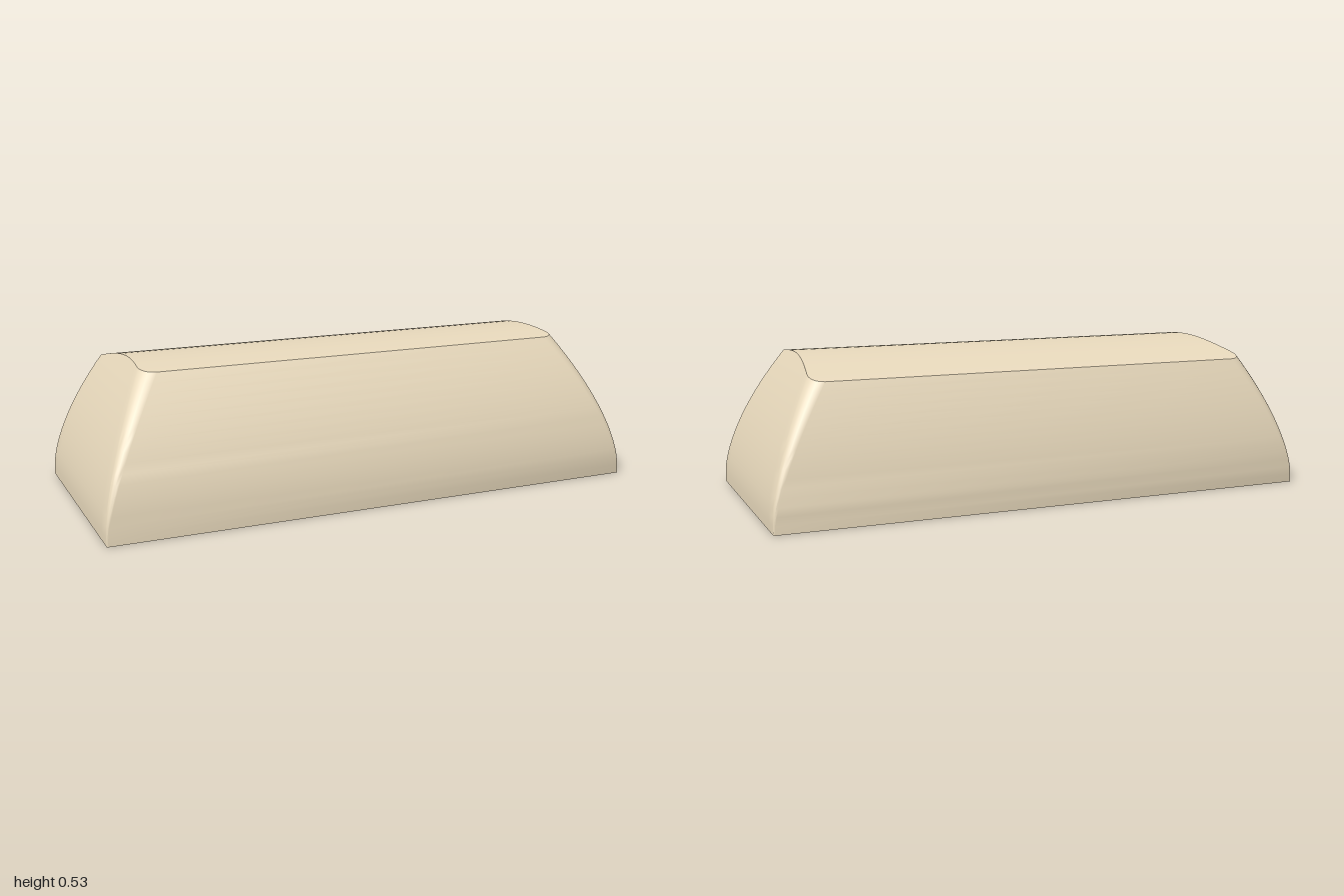
import * as THREE from 'three';
import { toCreasedNormals } from 'three/addons/utils/BufferGeometryUtils.js';

const LEVELS = 16, ARC = 6, SIDE = 14, WALL = 0.08;

// Outer profile: the walls rise straight for a short lip, then curve inwards
const curve = (y, top, p) => Math.pow(Math.max(0, y - 0.04) / (top - 0.04), p);
const endX = y => 1 - 0.19 * curve(y, 0.53, 1.55);
const frontZ = y => 0.435 - 0.195 * curve(y, 0.52, 1.8);
const backZ = y => -0.435 + 0.115 * curve(y, 0.47, 1.7);
const topY = z => 0.535 - 0.46 * (z - 0.05) ** 2;

// Half outline on the +x side, back to front: v runs along the end, (dx, dz) round the corners
const outline = [];
for (let i = 0; i <= ARC; i++) {
  const a = (i / ARC - 1) * Math.PI / 2;
  outline.push({ v: 0, dx: Math.cos(a), dz: Math.sin(a) });
}
for (let i = 1; i < SIDE; i++) outline.push({ v: i / SIDE, dx: 1, dz: 0 });
for (let i = 0; i <= ARC; i++) {
  const a = (i / ARC) * Math.PI / 2;
  outline.push({ v: 1, dx: Math.cos(a), dz: Math.sin(a) });
}

// Half ring at relative height t, moved inwards by inset
function halfRing(t, inset) {
  const radius = k => (inset ? 0.004 : 0.005 + 0.05 * k);
  const place = (zb, zf, r, p) => THREE.MathUtils.lerp(zb + inset + r, zf - inset - r, p.v) + r * p.dz;
  return outline.map(p => {
    const y = t * (topY(place(-0.32, 0.24, radius(1), p)) - inset);
    const r = radius(t);
    return [endX(y) - inset - r + r * p.dx, y, place(backZ(y), frontZ(y), r, p)];
  });
}
const mirror = half => half.map(([x, y, z]) => [-x, y, z]);
const fullRing = (t, inset) => {
  const half = halfRing(t, inset);
  return [...half, ...mirror(half).reverse()];
};

// Surface between consecutive rows of points
function skin(rows, closed, flip) {
  const n = rows[0].length, index = [];
  for (let j = 0; j < rows.length - 1; j++) {
    for (let i = 0; i < (closed ? n : n - 1); i++) {
      const k = (i + 1) % n;
      const a = j * n + i, b = j * n + k, c = a + n, d = b + n;
      index.push(...(flip ? [a, b, c, b, d, c] : [a, c, b, b, c, d]));
    }
  }
  const geo = new THREE.BufferGeometry();
  geo.setAttribute('position', new THREE.Float32BufferAttribute(rows.flat(2), 3));
  geo.setIndex(index);
  return toCreasedNormals(geo, 0.5);
}

export function createModel() {
  const group = new THREE.Group();
  group.name = 'hollowCap';
  const material = new THREE.MeshStandardMaterial({ color: 0xe8d9bc });
  const add = (name, geometry) => {
    const mesh = new THREE.Mesh(geometry, material);
    mesh.name = name;
    group.add(mesh);
  };

  const levels = Array.from({ length: LEVELS + 1 }, (_, i) => i / LEVELS);
  const lid = inset => {
    const half = halfRing(1, inset);
    return [half, mirror(half)];
  };

  // Outside: curved walls and the domed top
  add('outerWalls', skin(levels.map(t => fullRing(t, 0)), true, false));
  add('topFace', skin(lid(0), false, false));

  // Inside: open cavity with its ceiling
  add('innerWalls', skin(levels.map(t => fullRing(t, WALL)), true, true));
  add('ceiling', skin(lid(WALL), false, true));

  // Flat rim joining both around the bottom
  add('bottomRim', skin([fullRing(0, WALL), fullRing(0, 0)], true, false));
  return group;
}
